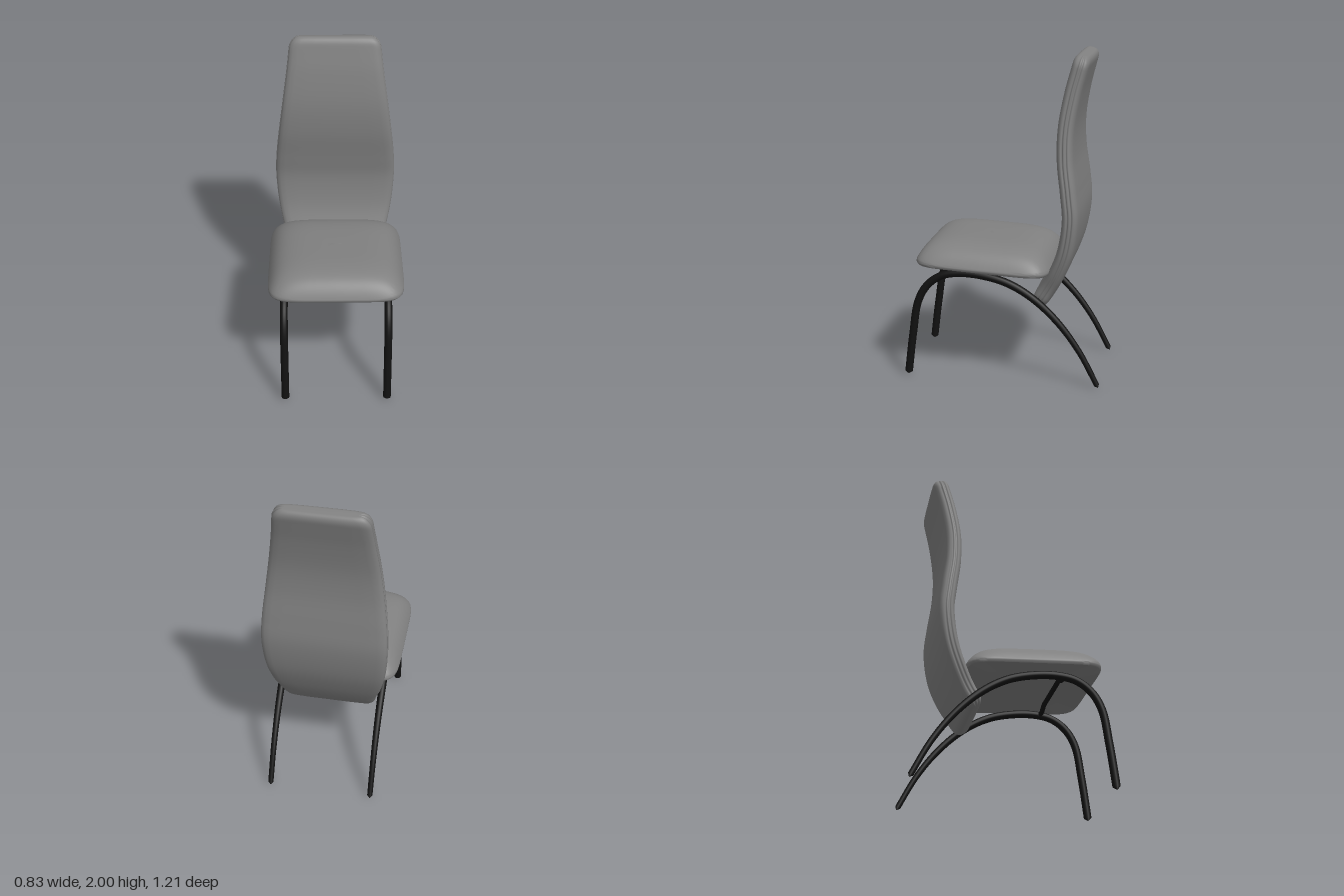
import * as THREE from 'three';
import { toCreasedNormals } from 'three/addons/utils/BufferGeometryUtils.js';

const fabric = new THREE.MeshStandardMaterial({ color: 0x808080 });
const metal = new THREE.MeshStandardMaterial({ color: 0x111111 });

function mesh(name, geometry, material) {
  const m = new THREE.Mesh(geometry, material);
  m.name = name;
  return m;
}

// Skin closed rings of [x, y, z] points, each running from +z towards +x
function loft(rings) {
  const n = rings[0].length, index = [];
  for (let i = 0; i < rings.length - 1; i++) {
    for (let j = 0; j < n; j++) {
      const a = i * n + j, b = i * n + (j + 1) % n;
      index.push(a, b, a + n, b, b + n, a + n);
    }
  }
  const g = new THREE.BufferGeometry();
  g.setAttribute('position', new THREE.Float32BufferAttribute(rings.flat(2), 3));
  g.setIndex(index);
  g.computeVertexNormals();
  return g;
}

// Domed cushion: bowed square outline, flat tilted base
function seatGeometry() {
  const N = 96, halfX = 0.415, halfZ = 0.413, midZ = 0.117, power = 2 / 7;
  const ring = (r, height) => Array.from({ length: N }, (_, j) => {
    const a = (j / N) * Math.PI * 2, s = Math.sin(a), c = Math.cos(a);
    const u = r * Math.sign(s) * Math.abs(s) ** power;
    const v = r * Math.sign(c) * Math.abs(c) ** power;
    const z = midZ + v * halfZ;
    return [u * halfX, 0.709 + 0.049 * z + height(u, v), z];
  });
  const rings = [0, 0.5, 0.98].map(r => ring(r, () => 0));
  rings.push(ring(1, () => 0.012));
  const steps = 28;
  for (let i = 0; i <= steps; i++) {
    const r = Math.cos((i / steps) * Math.PI / 2);
    rings.push(ring(r, (u, v) => 0.02 + 0.135 *
      Math.sqrt(Math.max(0, (1 - u ** 4) * (1 - v ** 4) * (1 - r ** 12)))));
  }
  return toCreasedNormals(loft(rings), 0.9);
}

// S-curved padded back; the curve's x holds the half width
function backGeometry() {
  const path = new THREE.CatmullRomCurve3([
    [0.285, 0.49, -0.21], [0.30, 0.59, -0.275], [0.335, 0.7, -0.333],
    [0.365, 0.85, -0.388], [0.38, 1.05, -0.416], [0.374, 1.2, -0.403],
    [0.352, 1.4, -0.378], [0.328, 1.58, -0.378], [0.30, 1.78, -0.41],
    [0.285, 1.9, -0.44], [0.275, 2.0, -0.467],
  ].map(p => new THREE.Vector3(...p)));
  // Front half of the edge: [inset from side, depth], with a piping seam
  const edge = [[0.14, 0.051], [0.06, 0.049], [0.03, 0.045], [0.012, 0.036],
    [0.004, 0.025], [0.004, 0.016], [0.014, 0.011], [0.002, 0.007], [0, 0]];
  const right = [...edge, ...edge.slice(0, -1).reverse().map(([e, d]) => [e, -d])];
  const length = path.getLength(), S = 0.045, R = 0.075;
  const stations = [0, 0.001, 0.004, 0.01, 0.018, 0.03, 0.045, 0.06, 0.075];
  const inner = Array.from({ length: 50 }, (_, i) => 0.1 + (length - 0.2) * i / 49);
  const all = [...stations, ...inner, ...stations.map(s => length - s).reverse()];

  const section = (s, closed) => {
    const p = path.getPointAt(s / length), t = path.getTangentAt(s / length);
    const k = Math.hypot(t.y, t.z), ny = -t.z / k, nz = t.y / k;
    const e = Math.min(s, length - s);
    const corner = e < R ? R - Math.sqrt(R * R - (R - e) ** 2) : 0;
    const depth = e < S ? 0.35 + 0.65 * Math.sqrt(1 - (1 - e / S) ** 2) : 1;
    const w = p.x - corner * 0.8;
    const at = (side, [inset, d]) => closed ? [0, p.y, p.z]
      : [side * (w - inset), p.y + ny * d * depth, p.z + nz * d * depth];
    return [...right.map(q => at(1, q)), ...[...right].reverse().map(q => at(-1, q))];
  };
  return loft([section(0, true), ...all.map(s => section(s, false)), section(length, true)]);
}

// Tube with rounded tips, thinning to endScale over its last part
function rod(points, radius, endScale = 1) {
  const path = new THREE.CatmullRomCurve3(points.map(p => new THREE.Vector3(...p)));
  const length = path.getLength(), segs = 100, sides = 16;
  const g = new THREE.TubeGeometry(path, segs, radius, sides);
  const pos = g.attributes.position, v = new THREE.Vector3();
  for (let i = 0; i <= segs; i++) {
    const c = path.getPointAt(i / segs), u = i / segs;
    const e = Math.min(u, 1 - u) * length;
    const round = e < radius ? Math.sqrt(1 - (1 - e / radius) ** 2) : 1;
    const k = round * THREE.MathUtils.lerp(1, endScale, THREE.MathUtils.smoothstep(u, 0.55, 1));
    for (let j = 0; j <= sides; j++) {
      const n = i * (sides + 1) + j;
      v.fromBufferAttribute(pos, n).sub(c).multiplyScalar(k).add(c);
      pos.setXYZ(n, v.x, v.y, v.z);
    }
  }
  return g;
}

export function createModel() {
  const chair = new THREE.Group();
  chair.name = 'chair';
  chair.add(mesh('seat', seatGeometry(), fabric), mesh('backrest', backGeometry(), fabric));

  // One arched rod per side makes a front and a rear leg
  const arch = [[0.587, 0.005], [0.552, 0.28], [0.515, 0.49], [0.455, 0.595], [0.365, 0.66],
    [0.25, 0.682], [0.1, 0.672], [-0.05, 0.632], [-0.2, 0.545], [-0.35, 0.405],
    [-0.48, 0.23], [-0.6, 0.005]];
  for (const [name, x] of [['leftLegs', 0.318], ['rightLegs', -0.318]]) {
    chair.add(mesh(name, rod(arch.map(([z, y]) => [x, y, z]), 0.024, 0.7), metal));
  }

  // Cross bar under the seat, dropping to the legs at both ends
  const half = [[0.318, 0.685], [0.26, 0.682], [0.2, 0.704], [0.1, 0.706]];
  const bar = [...half.map(([x, y]) => [-x, y, 0.29]),
    ...[...half].reverse().map(([x, y]) => [x, y, 0.29])];
  chair.add(mesh('crossBar', rod(bar, 0.015), metal));
  return chair;
}
